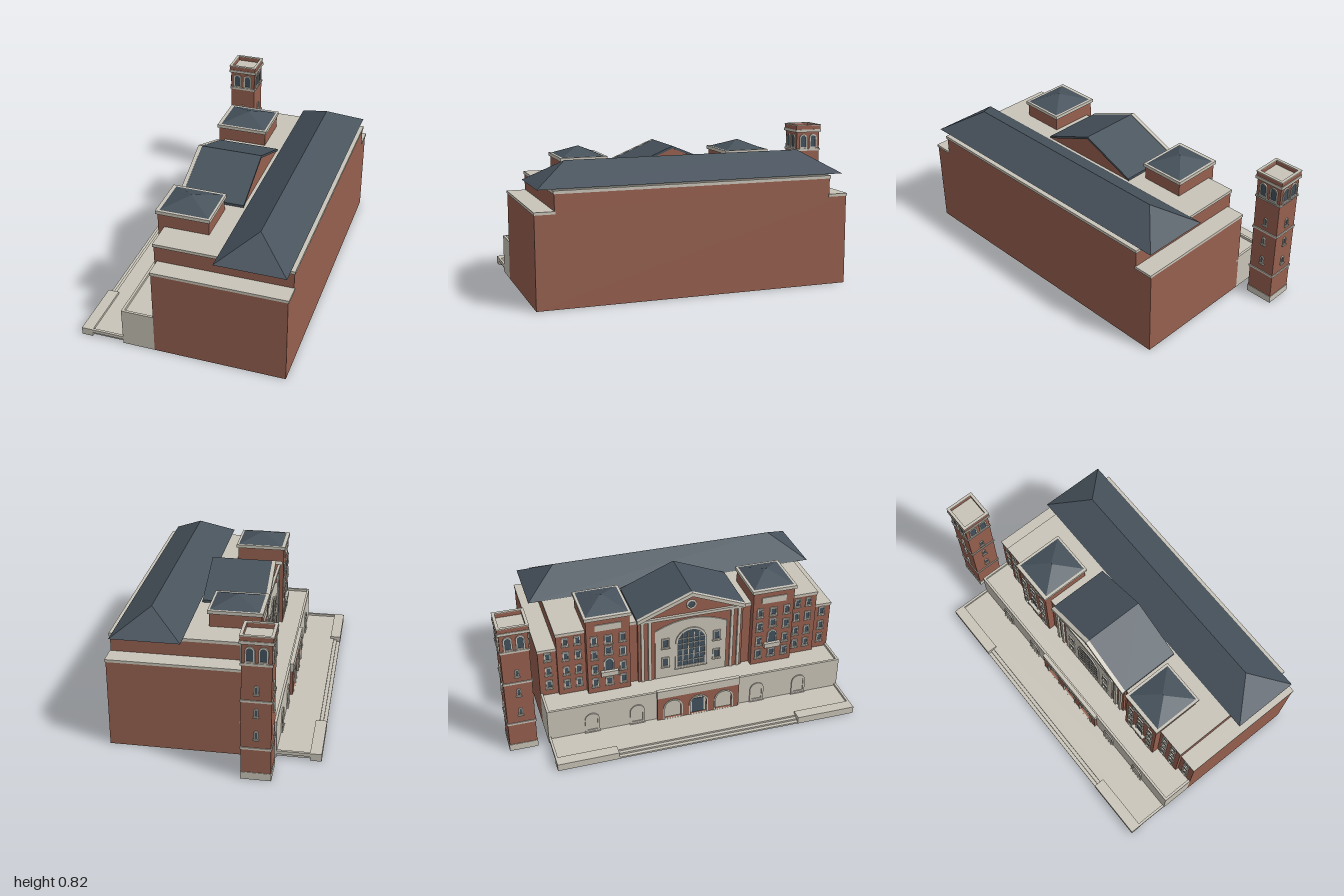
import * as THREE from 'three';

const mat = (name, color) => Object.assign(new THREE.MeshStandardMaterial({ color }), { name });
const BRICK = mat('brick', 0x96604f);
const STONE = mat('stone', 0xc9c4b8);
const SLATE = mat('slate', 0x47525c);
const GLASS = mat('glass', 0x42515e);

// Local frame of every elevation: u to the right, y up, w outwards
function add(parent, name, geometry, material) {
  const mesh = new THREE.Mesh(geometry, material);
  mesh.name = name;
  parent.add(mesh);
  return mesh;
}

function box(parent, name, material, u0, u1, y0, y1, w0, w1) {
  const g = new THREE.BoxGeometry(u1 - u0, y1 - y0, w1 - w0);
  g.translate((u0 + u1) / 2, (y0 + y1) / 2, (w0 + w1) / 2);
  return add(parent, name, g, material);
}

function extrude(parent, name, material, shape, w0, w1) {
  const g = new THREE.ExtrudeGeometry(shape, { depth: w1 - w0, bevelEnabled: false, curveSegments: 8 });
  g.translate(0, 0, w0);
  return add(parent, name, g, material);
}

const polygon = (pts) => new THREE.Shape(pts.map(([u, y]) => new THREE.Vector2(u, y)));

// Outline of an opening; the arched kind ends in a half circle
function opening(u, y, width, height, arched) {
  const r = width / 2;
  if (!arched) return polygon([[u - r, y], [u + r, y], [u + r, y + height], [u - r, y + height]]);
  const s = new THREE.Shape();
  s.moveTo(u - r, y);
  s.lineTo(u + r, y);
  s.lineTo(u + r, y + height - r);
  s.absarc(u, y + height - r, r, 0, Math.PI, false);
  s.lineTo(u - r, y);
  return s;
}

// Stone surround, pane and sill
function windowAt(parent, u, y, width, height, w, arched = false, pane = GLASS, t = 0.007) {
  const frame = opening(u, y, width, height, arched);
  const inner = opening(u, y + t, width - 2 * t, height - 2 * t, arched);
  frame.holes.push(inner);
  extrude(parent, 'windowFrame', STONE, frame, w - 0.018, w + 0.007);
  extrude(parent, 'windowPane', pane, inner, w - 0.019, w + 0.002);
  box(parent, 'windowSill', STONE, u - width / 2 - 0.004, u + width / 2 + 0.004, y - 0.006, y, w, w + 0.01);
}

// Hipped roof with its ridge along u; ridge = 0 gives a pyramid
function hipRoof(parent, name, u0, u1, w0, w1, y0, y1, ridge) {
  const um = (u0 + u1) / 2, wm = (w0 + w1) / 2;
  const a = [u0, y0, w1], b = [u1, y0, w1], c = [u1, y0, w0], d = [u0, y0, w0];
  const r = [um - ridge, y1, wm], s = [um + ridge, y1, wm];
  const tris = [a, b, s, a, s, r, b, c, s, c, d, r, c, r, s, d, a, r, a, d, c, a, c, b];
  const g = new THREE.BufferGeometry();
  g.setAttribute('position', new THREE.Float32BufferAttribute(tris.flat(), 3));
  g.computeVertexNormals();
  return add(parent, name, g, SLATE);
}

const chevron = (half, eave, apex, t) => polygon([
  [-half, eave - t], [0, apex - t], [half, eave - t], [half, eave], [0, apex], [-half, eave]]);

function buildHall(hall) {
  // Shell, open underneath
  box(hall, 'rearWall', BRICK, -0.885, 0.885, 0, 0.5, -0.575, -0.56);
  box(hall, 'rearUpperWall', BRICK, -0.78, 0.78, 0.5, 0.605, -0.575, -0.56);
  box(hall, 'frontWall', BRICK, -0.78, 0.78, 0.2, 0.605, 0.16, 0.175);
  box(hall, 'mainRoofDeck', STONE, -0.785, 0.785, 0.603, 0.62, -0.58, 0.18);
  hipRoof(hall, 'mainRoof', -0.865, 0.865, -0.56, -0.175, 0.625, 0.745, 0.675);
  box(hall, 'roofKerb', STONE, -0.78, 0.78, 0.618, 0.626, -0.55, -0.185);

  const rows = [0.25, 0.34, 0.44, 0.535];
  for (const s of [-1, 1]) {
    const span = (name, m, a, b, ...rest) => box(hall, name, m, Math.min(s * a, s * b), Math.max(s * a, s * b), ...rest);
    // Low end wing
    span('endWall', BRICK, 0.87, 0.885, 0, 0.5, -0.575, 0.155);
    span('wingFront', BRICK, 0.78, 0.885, 0.2, 0.5, 0.14, 0.155);
    span('upperEndWall', BRICK, 0.765, 0.78, 0.5, 0.605, -0.575, 0.175);
    span('wingReturn', BRICK, 0.765, 0.78, 0.2, 0.5, 0.14, 0.175);
    span('wingRoofDeck', STONE, 0.775, 0.888, 0.5, 0.515, -0.58, 0.16);
    for (const y of rows.slice(0, 3)) windowAt(hall, s * 0.83, y, 0.038, 0.055, 0.155);
    // Link beside the pavilion
    for (const u of [0.66, 0.73]) for (const y of rows) windowAt(hall, s * u, y, 0.036, 0.055, 0.175);

    // Pavilion
    const p = s * 0.4925;
    box(hall, 'pavilionFront', BRICK, p - 0.125, p + 0.125, 0.2, 0.62, 0.162, 0.215);
    box(hall, 'pavilionTop', BRICK, p - 0.125, p + 0.125, 0.61, 0.697, -0.07, 0.215);
    box(hall, 'pavilionCornice', STONE, p - 0.135, p + 0.135, 0.697, 0.717, -0.078, 0.224);
    hipRoof(hall, 'pavilionRoof', p - 0.121, p + 0.121, -0.066, 0.204, 0.717, 0.766, 0.005);
    for (const y of rows) for (const du of [-0.082, 0.082]) windowAt(hall, p + du, y, 0.038, 0.058, 0.215);
    for (const y of [rows[0], rows[2] + 0.02, rows[3]]) windowAt(hall, p, y, 0.045, 0.055, 0.215);
    windowAt(hall, p, 0.335, 0.06, 0.1, 0.215, true);
    box(hall, 'balcony', STONE, p - 0.05, p + 0.05, 0.32, 0.35, 0.215, 0.236);
    box(hall, 'pavilionPanel', STONE, p - 0.075, p + 0.075, 0.625, 0.665, 0.21, 0.22);

    // Pilasters of the centre
    for (const u of [0.247, 0.29]) {
      box(hall, 'pilaster', STONE, s * u - 0.009, s * u + 0.009, 0.21, 0.615, 0.185, 0.202);
    }
  }

  // Gabled centre
  box(hall, 'centreFront', BRICK, -0.315, 0.315, 0.2, 0.62, 0.162, 0.19);
  extrude(hall, 'gableBlock', BRICK, polygon([[-0.312, 0.61], [0.312, 0.61], [0.312, 0.632], [0, 0.758], [-0.312, 0.632]]), -0.155, 0.19);
  extrude(hall, 'gableRoof', SLATE, chevron(0.322, 0.637, 0.77, 0.014), -0.162, 0.195);
  extrude(hall, 'rakingCornice', STONE, chevron(0.322, 0.638, 0.771, 0.024), 0.19, 0.212);
  box(hall, 'gableBeam', STONE, -0.318, 0.318, 0.612, 0.63, 0.185, 0.205);
  const roundel = add(hall, 'roundelFrame', new THREE.TorusGeometry(0.025, 0.006, 6, 20), STONE);
  roundel.position.set(0, 0.685, 0.191);
  const pane = add(hall, 'roundelPane', new THREE.CircleGeometry(0.024, 20), GLASS);
  pane.position.set(0, 0.685, 0.193);

  // Stone frontispiece with the great window
  const panel = new THREE.Shape();
  panel.moveTo(-0.215, 0.21);
  panel.lineTo(0.215, 0.21);
  panel.lineTo(0.215, 0.54);
  panel.quadraticCurveTo(0, 0.65, -0.215, 0.54);
  extrude(hall, 'frontispiece', STONE, panel, 0.155, 0.197);
  windowAt(hall, 0, 0.265, 0.19, 0.27, 0.197, true, GLASS, 0.012);
  for (const u of [-0.05, -0.017, 0.017, 0.05]) box(hall, 'mullion', STONE, u - 0.002, u + 0.002, 0.275, 0.505, 0.198, 0.203);
  for (const y of [0.31, 0.35, 0.39, 0.43, 0.465]) box(hall, 'transom', STONE, -0.083, 0.083, y - 0.002, y + 0.002, 0.198, 0.203);
  for (const u of [-0.155, 0.155]) for (const y of [0.29, 0.42]) windowAt(hall, u, y, 0.045, 0.065, 0.197);
}

function buildTerrace(t) {
  // Upper terrace
  box(t, 'terraceFloor', STONE, -0.885, 0.885, 0.19, 0.205, 0.14, 0.335);
  box(t, 'terraceWall', STONE, -0.885, 0.885, 0, 0.22, 0.323, 0.337);
  for (const s of [-1, 1]) {
    box(t, 'terraceEnd', STONE, s * 0.878 - 0.007, s * 0.878 + 0.007, 0, 0.22, 0.155, 0.335);
    for (const u of [0.365, 0.63]) {
      windowAt(t, s * u, 0.035, 0.085, 0.125, 0.337, true, STONE, 0.012);
      box(t, 'innerDoor', BRICK, s * u - 0.03, s * u + 0.03, 0.03, 0.14, 0.316, 0.323);
    }
  }
  // Portal with three arches
  const front = polygon([[-0.248, 0.03], [0.248, 0.03], [0.248, 0.185], [-0.248, 0.185]]);
  for (const u of [-0.155, 0, 0.155]) {
    front.holes.push(opening(u, 0.032, 0.1, 0.125, true));
    const trim = opening(u, 0.031, 0.116, 0.134, true);
    trim.holes.push(opening(u, 0.032, 0.098, 0.124, true));
    extrude(t, 'archTrim', STONE, trim, 0.35, 0.357);
  }
  extrude(t, 'portal', BRICK, front, 0.335, 0.353);
  box(t, 'portalParapet', STONE, -0.25, 0.25, 0.185, 0.235, 0.333, 0.356);
  box(t, 'portalDoor', GLASS, -0.035, 0.035, 0.03, 0.13, 0.316, 0.34);

  // Forecourt, its kerbs and the steps
  box(t, 'forecourt', STONE, -0.875, 0.875, 0.008, 0.03, 0.335, 0.53);
  for (const s of [-1, 1]) {
    box(t, 'endKerb', STONE, s * 0.878 - 0.007, s * 0.878 + 0.007, 0.024, 0.043, 0.335, 0.58);
    box(t, 'cornerKerb', STONE, s * 0.71 - 0.175, s * 0.71 + 0.175, 0, 0.043, 0.517, 0.58);
  }
  for (let i = 0; i < 3; i++) box(t, 'step', STONE, -0.535, 0.535, 0.01 * i, 0.01 * (i + 1), 0.5, 0.578 - 0.02 * i);
}

function buildTower(tower) {
  const h = 0.078;
  const tier = (name, m, half, y0, y1) => box(tower, name, m, -half, half, y0, y1, -half, half);
  tier('towerShaft', BRICK, h, 0.02, 0.785);
  tier('towerBase', STONE, h + 0.003, 0, 0.042);
  for (const y of [0.18, 0.455, 0.661]) tier('towerBand', STONE, h + 0.005, y, y + 0.012);
  tier('towerCornice', STONE, 0.0875, 0.779, 0.796);
  for (let i = 0; i < 4; i++) {
    const face = new THREE.Group();
    face.name = 'towerFace';
    face.rotation.y = i * Math.PI / 2;
    tower.add(face);
    for (const y of [0.243, 0.374, 0.503]) windowAt(face, 0, y, 0.024, 0.048, h, true, GLASS, 0.005);
    for (const u of [-0.034, 0.034]) windowAt(face, u, 0.678, 0.05, 0.088, h, true, GLASS, 0.008);
    box(face, 'towerParapet', BRICK, -0.084, 0.084, 0.796, 0.821, 0.072, 0.084);
    box(face, 'parapetCap', STONE, -0.0865, 0.0865, 0.82, 0.825, 0.07, 0.0865);
  }
}

export function createModel() {
  const model = new THREE.Group();
  model.name = 'building';
  const part = (name, build, x, z) => {
    const g = new THREE.Group();
    g.name = name;
    g.rotation.y = -Math.PI / 2; // the main elevation looks along -x
    g.position.set(x, 0, z);
    build(g);
    model.add(g);
  };
  part('hall', buildHall, 0, 0.115);
  part('terrace', buildTerrace, 0, 0.115);
  part('tower', buildTower, -0.258, -0.9125);
  return model;
}
